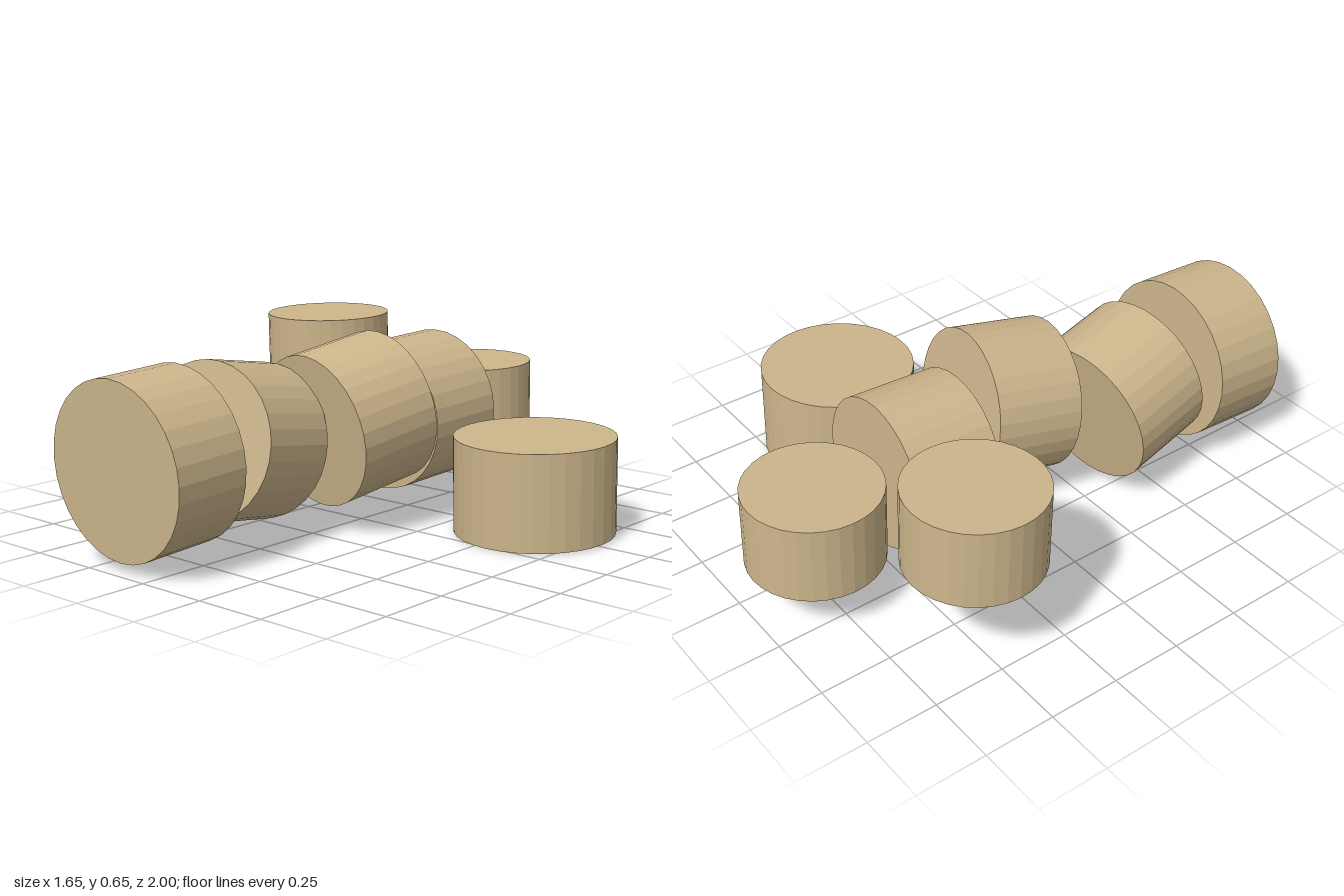
import * as THREE from 'three';

export function createModel() {
  const model = new THREE.Group();
  const tan = new THREE.MeshStandardMaterial({ color: 0xccb58b, flatShading: true });
  tan.name = 'tan';
  const up = new THREE.Vector3(0, 1, 0);

  // Plain drum: radius, length, centre and axis direction
  function addDrum(name, radius, length, centre, axis) {
    const mesh = new THREE.Mesh(new THREE.CylinderGeometry(radius, radius, length, 32), tan);
    mesh.name = name;
    mesh.position.set(...centre);
    mesh.quaternion.setFromUnitVectors(up, new THREE.Vector3(...axis).normalize());
    model.add(mesh);
  }

  // Row of lying drums, front to back
  addDrum('frontDrum', 0.291, 0.275, [-0.133, 0.33, 0.848], [0, -0.051, 1]);
  addDrum('secondDrum', 0.264, 0.314, [-0.161, 0.33, 0.45], [0.137, 0.17, 1]);
  addDrum('thirdDrum', 0.264, 0.32, [-0.003, 0.37, 0.063], [-0.13, -0.168, 1]);
  addDrum('fourthDrum', 0.263, 0.317, [-0.068, 0.336, -0.34], [-0.015, -0.04, 1]);

  // Upright drums, leaning slightly forward
  const lean = [0, 1, 0.025];
  addDrum('leftUprightDrum', 0.273, 0.328, [0.549, 0.173, -0.253], lean);
  addDrum('rightUprightDrum', 0.23, 0.275, [-0.596, 0.488, -0.487], lean);
  addDrum('backUprightDrum', 0.23, 0.273, [-0.122, 0.318, -0.768], lean);

  return model;
}
